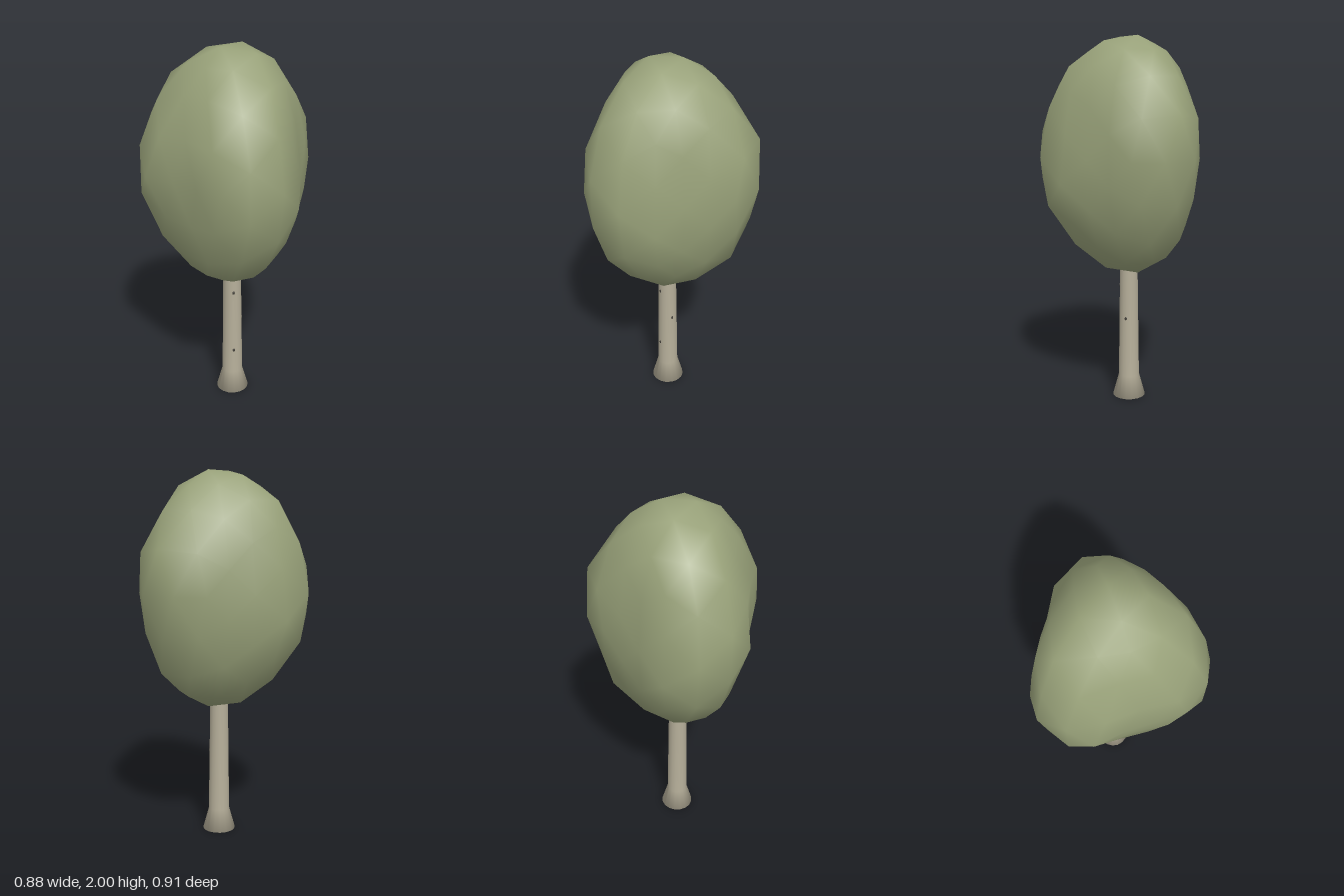
import * as THREE from 'three';
import { mergeVertices } from 'three/addons/utils/BufferGeometryUtils.js';

const leafGreen = new THREE.MeshStandardMaterial({ color: 0x98a179 });
leafGreen.name = 'leaf green';
const paleBark = new THREE.MeshStandardMaterial({ color: 0xb5ae99 });
paleBark.name = 'pale bark';
const darkBark = new THREE.MeshStandardMaterial({ color: 0x45423b });
darkBark.name = 'dark bark';

// Crown: a subdivided ball pushed into three soft vertical lobes
function crownGeometry() {
  const ball = new THREE.IcosahedronGeometry(1, 2);
  ball.deleteAttribute('uv');
  ball.deleteAttribute('normal');
  const geo = mergeVertices(ball, 1e-3);
  const pos = geo.attributes.position;
  const v = new THREE.Vector3();
  const bumpDir = new THREE.Vector3(-0.851, 0, -0.526);
  for (let i = 0; i < pos.count; i++) {
    v.fromBufferAttribute(pos, i);
    const angle = Math.atan2(v.z, v.x);
    const lobes = 0.065 * Math.hypot(v.x, v.z) * Math.cos(3 * (angle - 0.087));
    const sway = 0.019 * Math.sin(2 * Math.PI * v.y) * Math.cos(2 * angle);
    const bump = 0.045 * Math.max(0, v.dot(bumpDir)) ** 20;
    const r = 0.432 + lobes + sway + bump;
    pos.setXYZ(i, v.x * r, v.y * 0.648, v.z * r);
  }
  geo.computeVertexNormals();
  return geo;
}

export function createModel() {
  const tree = new THREE.Group();
  tree.name = 'tree';
  const add = (name, geo, mat) => {
    const mesh = new THREE.Mesh(geo, mat);
    mesh.name = name;
    tree.add(mesh);
    return mesh;
  };

  add('crown', crownGeometry(), leafGreen).position.y = 1.365;

  // Trunk with a flared foot, running up into the crown
  const profile = [[0, 0], [0.091, 0], [0.058, 0.12], [0.05, 0.73], [0.046, 0.9], [0, 0.9]];
  add('trunk', new THREE.LatheGeometry(profile.map(([r, y]) => new THREE.Vector2(r, y)), 16), paleBark);

  // Small bark knots: angle around the trunk from +x towards +z, and height
  for (const [deg, y] of [[52, 0.46], [133, 0.64], [133, 0.27]]) {
    const a = THREE.MathUtils.degToRad(deg);
    const r = 0.0595 - 0.013 * y;
    const knot = add('barkKnot', new THREE.SphereGeometry(1, 8, 6), darkBark);
    knot.scale.set(0.007, 0.01, 0.003);
    knot.position.set(r * Math.cos(a), y, r * Math.sin(a));
    knot.rotation.y = Math.PI / 2 - a;
  }

  tree.position.set(-0.05, 0, 0.015);
  const model = new THREE.Group();
  model.name = 'treeModel';
  model.add(tree);
  return model;
}
